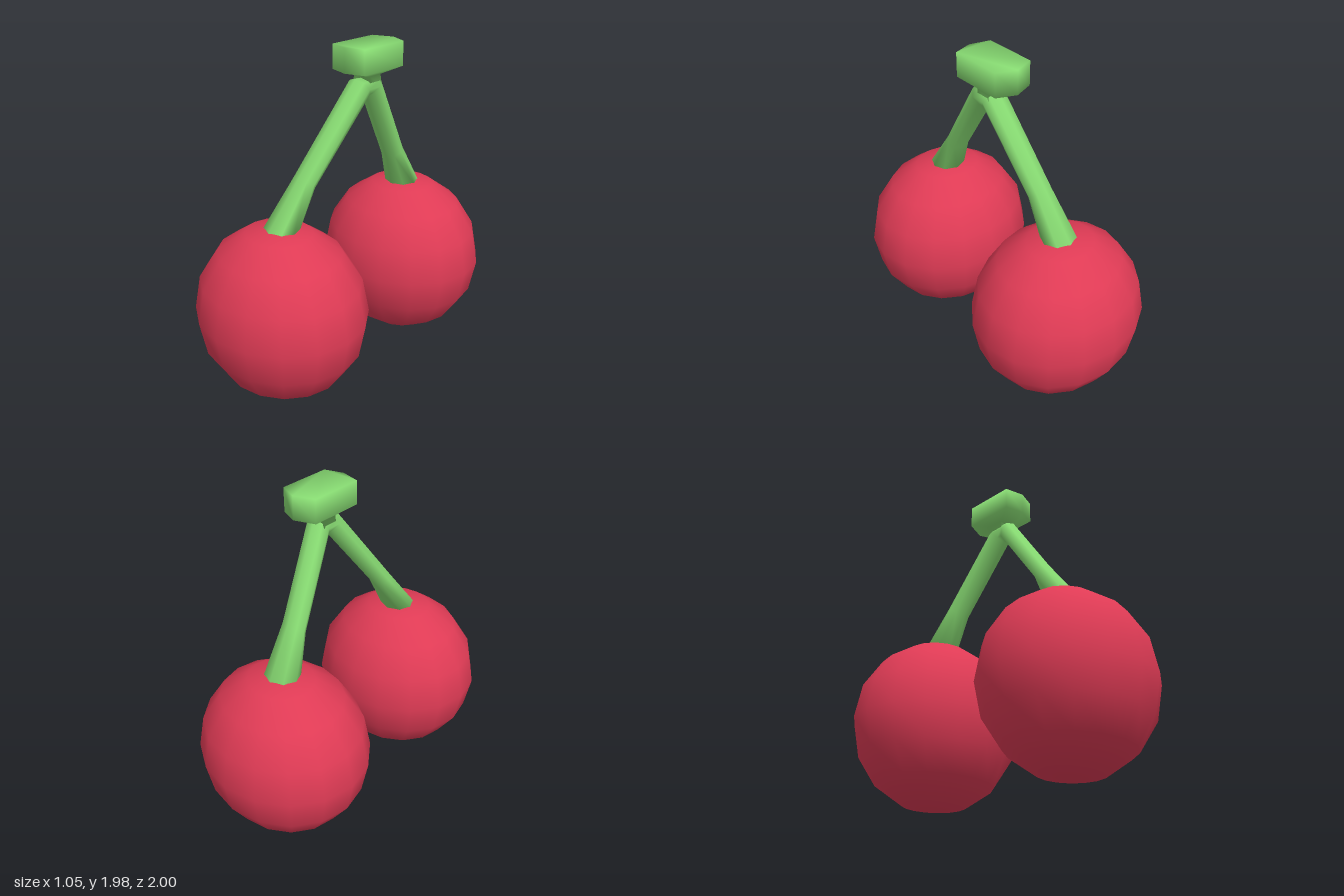
import * as THREE from 'three';

const red = new THREE.MeshStandardMaterial({ color: 0xdf3b55 });
const green = new THREE.MeshStandardMaterial({ color: 0x86d971 });

// Skins a list of equal-length rings of [x, y, z] points and closes both ends.
function loft(rings) {
  const n = rings[0].length;
  const points = rings.flat();
  const index = [];
  for (let i = 0; i < rings.length - 1; i++) {
    for (let j = 0; j < n; j++) {
      const a = i * n + j, b = i * n + (j + 1) % n;
      index.push(a, b, a + n, b, b + n, a + n);
    }
  }
  const last = (rings.length - 1) * n;
  for (let j = 1; j < n - 1; j++) {
    index.push(0, j + 1, j);
    index.push(last, last + j, last + j + 1);
  }
  const geometry = new THREE.BufferGeometry();
  geometry.setAttribute('position', new THREE.Float32BufferAttribute(points.flat(), 3));
  geometry.setIndex(index);
  geometry.computeVertexNormals();
  return geometry;
}

// Eight-sided stem ring whose axis leans from +y towards -z by tilt degrees.
function stemRing([x, y, z, tilt, rx, rv]) {
  const t = THREE.MathUtils.degToRad(tilt);
  return Array.from({ length: 8 }, (_, j) => {
    const a = j * Math.PI / 4;
    const v = rv * Math.sin(a);
    return [x + rx * Math.cos(a), y - v * Math.sin(t), z - v * Math.cos(t)];
  });
}

function addMesh(parent, name, geometry, material) {
  const mesh = new THREE.Mesh(geometry, material);
  mesh.name = name;
  parent.add(mesh);
  return mesh;
}

export function createModel() {
  const group = new THREE.Group();
  group.name = 'cherryPair';

  // Two slightly flattened fruits, front and back
  for (const [name, side] of [['frontCherry', 1], ['backCherry', -1]]) {
    const cherry = addMesh(group, name, new THREE.SphereGeometry(0.525, 16, 8), red);
    cherry.scale.z = 0.9;
    cherry.position.set(0, 0.53, side * 0.525);
  }

  // One bent stem running from the front fruit over the fork to the back fruit
  const stemRings = [
    [0, 1.0, 0.53, 0, 0.11, 0.105],
    [0.03, 1.27, 0.355, 42, 0.075, 0.056],
    [0.11, 1.75, 0.0, 55, 0.075, 0.063],
    [0.11, 1.75, -0.085, 125, 0.075, 0.063],
    [0.03, 1.27, -0.38, 146, 0.075, 0.06],
    [0, 1.0, -0.53, 180, 0.11, 0.105],
  ];
  addMesh(group, 'stem', loft(stemRings.map(stemRing)), green);

  // Six-sided cap with a short neck into the fork
  const outline = [[0.22, 0.085], [0.22, -0.23], [0.11, -0.275], [-0.01, -0.23], [-0.01, 0.09], [0.11, 0.12]];
  const capRing = (y, sx, sz) => outline.map(([x, z]) =>
    [0.11 + (x - 0.11) * sx, y, -0.06 + (z + 0.06) * sz]);
  addMesh(group, 'stemCap', loft([
    capRing(1.74, 0.55, 0.3),
    capRing(1.815, 0.5, 0.28),
    capRing(1.847, 1, 1),
    capRing(1.985, 1, 1),
  ]), green);

  return group;
}
